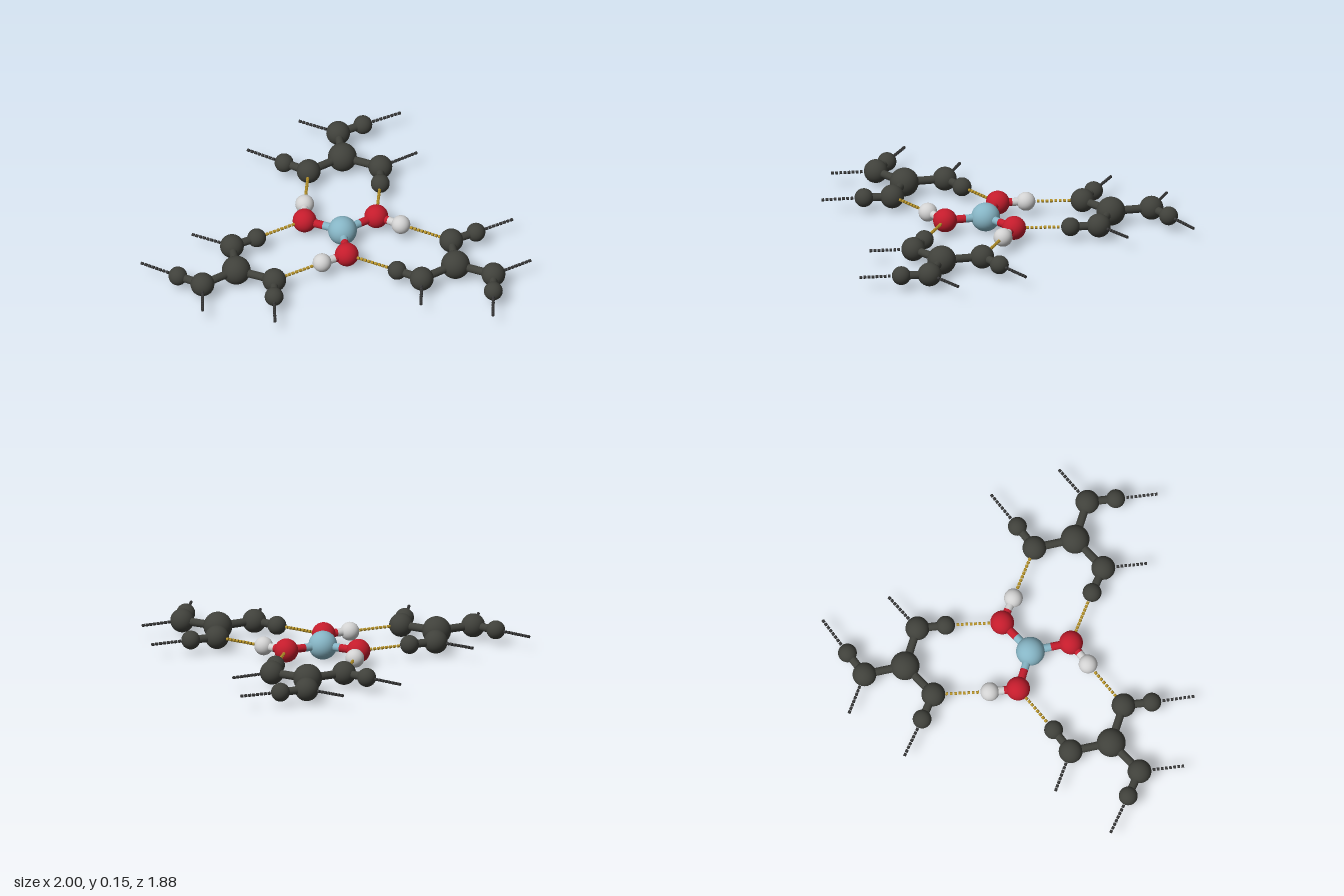
import * as THREE from 'three';

const Y = 0.075;
const mat = (name, color) => {
  const m = new THREE.MeshStandardMaterial({ color });
  m.name = name;
  return m;
};

export function createModel() {
  const blue = mat('pale blue', 0x86b5c5);
  const red = mat('red', 0xc41c2c);
  const white = mat('light grey', 0xd2d2d2);
  const dark = mat('charcoal', 0x40413b);
  const gold = mat('gold', 0xb8942a);
  const ink = mat('dark grey', 0x383838);

  const root = new THREE.Group();
  root.name = 'molecularSheet';
  const at = ([x, z]) => new THREE.Vector3(x, Y, z);
  const up = new THREE.Vector3(0, 1, 0);

  const ball = (parent, name, p, r, material) => {
    const m = new THREE.Mesh(new THREE.SphereGeometry(r, 32, 20), material);
    m.name = name;
    m.position.copy(p);
    parent.add(m);
  };

  const rod = (parent, name, a, b, r, material, sides = 20) => {
    const d = b.clone().sub(a);
    const m = new THREE.Mesh(new THREE.CylinderGeometry(r, r, d.length(), sides), material);
    m.name = name;
    m.position.copy(a).lerp(b, 0.5);
    m.quaternion.setFromUnitVectors(up, d.normalize());
    parent.add(m);
  };

  // A bond is two half rods, each in the colour of its atom
  const bond = (parent, name, a, b, ma, mb) => {
    const mid = a.clone().lerp(b, 0.5);
    rod(parent, name, a, mid, 0.021, ma);
    rod(parent, name, mid, b, 0.021, mb);
  };

  // Flat molecule: a centre with three arms, each arm bent at its middle atom
  const molecule = (name, centre, flip, mc, mo, mh) => {
    const g = new THREE.Group();
    g.name = name;
    const c = at(centre);
    const atoms = { o: [], h: [] };
    ball(g, 'centreAtom', c, 0.075, mc);
    for (let i = 0; i < 3; i++) {
      const turn = (x, z) => new THREE.Vector3(x, 0, z)
        .applyAxisAngle(up, i * Math.PI * 2 / 3 + (flip ? Math.PI : 0)).add(c);
      const o = turn(0, 0.216);
      const h = turn(-0.135, 0.276);
      ball(g, 'armAtom', o, 0.062, mo);
      ball(g, 'endAtom', h, 0.049, mh);
      bond(g, 'innerBond', c, o, mc, mo);
      bond(g, 'outerBond', o, h, mo, mh);
      atoms.o.push(o);
      atoms.h.push(h);
    }
    root.add(g);
    return atoms;
  };

  const core = molecule('centralMolecule', [-0.075, -0.087], true, blue, red, white);
  const front = molecule('frontMolecule', [-0.11, 0.568], false, dark, dark, dark);
  const left = molecule('backLeftMolecule', [-0.607, -0.47], false, dark, dark, dark);
  const right = molecule('backRightMolecule', [0.515, -0.384], false, dark, dark, dark);

  // Dotted line of short rods; the ends are trimmed to the atom surfaces
  const dotted = (name, a, b, trimA, trimB, material) => {
    const g = new THREE.Group();
    g.name = name;
    const dir = b.clone().sub(a);
    const span = dir.length() - trimA - trimB;
    dir.normalize();
    const count = Math.round(span / 0.0215);
    const pitch = span / count;
    for (let i = 0; i < count; i++) {
      const p = a.clone().addScaledVector(dir, trimA + (i + 0.35) * pitch);
      rod(g, 'dash', p, p.clone().addScaledVector(dir, 0.0135), 0.008, material, 10);
    }
    root.add(g);
  };

  // Links between the central molecule and its neighbours
  const nearest = (list, p) => list.reduce((a, b) => (a.distanceTo(p) < b.distanceTo(p) ? a : b));
  for (const m of [front, left, right]) {
    const c = at([-0.075, -0.087]);
    const h = nearest(m.h, c);
    dotted('goldLink', h, nearest(core.o, h), 0.049, 0.062, gold);
    const ch = core.h.reduce((a, b) => (nearest(m.o, a).distanceTo(a) < nearest(m.o, b).distanceTo(b) ? a : b));
    dotted('goldLink', ch, nearest(m.o, ch), 0.049, 0.062, gold);
  }

  // Loose links that run outwards from the outer molecules: [molecule, kind, outer end]
  const loose = [
    [left, 'o', [-0.998, -0.475]], [left, 'h', [-0.75, -0.945]],
    [left, 'h', [-0.947, -0.107]], [left, 'o', [-0.412, -0.805]],
    [right, 'h', [0.362, -0.86]], [right, 'o', [0.714, -0.722]],
    [right, 'h', [0.998, -0.276]], [right, 'o', [0.697, -0.032]],
    [front, 'o', [-0.503, 0.567]], [front, 'h', [0.38, 0.674]],
    [front, 'o', [0.08, 0.92]], [front, 'h', [-0.45, 0.931]],
  ];
  for (const [m, kind, end] of loose) {
    const e = at(end);
    dotted('looseLink', nearest(m[kind], e), e, kind === 'o' ? 0.062 : 0.049, 0, ink);
  }
  return root;
}
